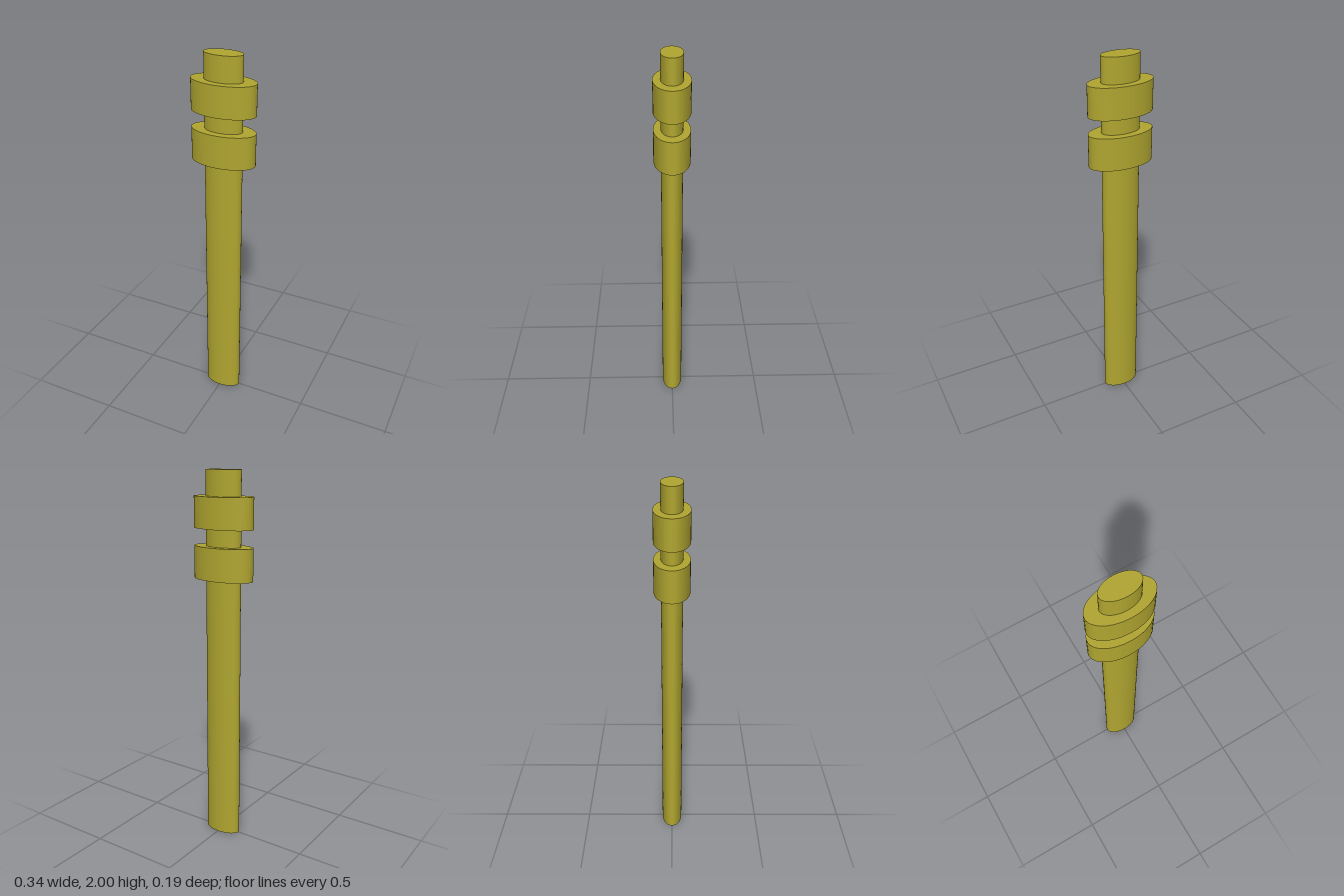
import * as THREE from 'three';

export function createModel() {
  const group = new THREE.Group();
  const material = new THREE.MeshStandardMaterial({ color: 0xb0a530, flatShading: true });

  // Upright elliptical cylinder between two heights
  function ellipticCylinder(name, rx, rz, bottom, top) {
    const geometry = new THREE.CylinderGeometry(1, 1, top - bottom, 48);
    geometry.scale(rx, 1, rz);
    const mesh = new THREE.Mesh(geometry, material);
    mesh.name = name;
    mesh.position.y = (bottom + top) / 2;
    group.add(mesh);
  }

  // Long oval shaft
  ellipticCylinder('shaft', 0.102, 0.056, 0, 2);

  // Two wider collars near the top
  ellipticCylinder('lowerCollar', 0.172, 0.094, 1.45, 1.62);
  ellipticCylinder('upperCollar', 0.172, 0.094, 1.71, 1.87);

  return group;
}
